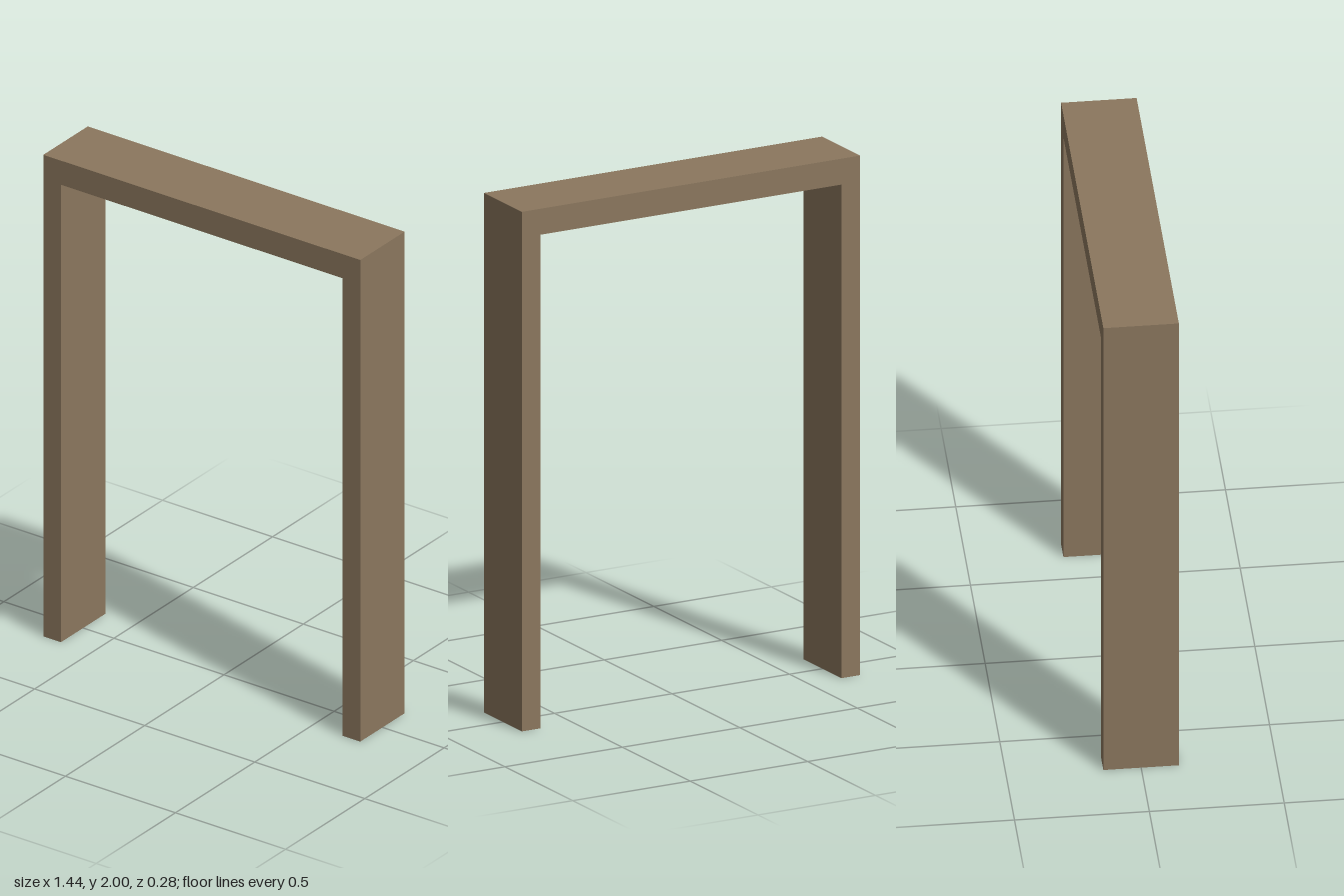
import * as THREE from 'three';

const HALF_WIDTH = 0.72, HALF_OPENING = 0.64;
const HEIGHT = 2, OPENING_HEIGHT = 1.9, DEPTH = 0.28;

export function createModel() {
  const group = new THREE.Group();
  group.name = 'doorFrame';

  // Upside-down U outline: two jambs joined by a header
  const outline = new THREE.Shape([
    [-HALF_WIDTH, 0], [-HALF_OPENING, 0],
    [-HALF_OPENING, OPENING_HEIGHT], [HALF_OPENING, OPENING_HEIGHT],
    [HALF_OPENING, 0], [HALF_WIDTH, 0],
    [HALF_WIDTH, HEIGHT], [-HALF_WIDTH, HEIGHT],
  ].map(([x, y]) => new THREE.Vector2(x, y)));

  const geometry = new THREE.ExtrudeGeometry(outline, { depth: DEPTH, bevelEnabled: false });
  geometry.translate(0, 0, -DEPTH / 2);

  const frame = new THREE.Mesh(geometry, new THREE.MeshStandardMaterial({ color: 0x8b775e }));
  frame.name = 'jambsAndHeader';
  group.add(frame);
  return group;
}
